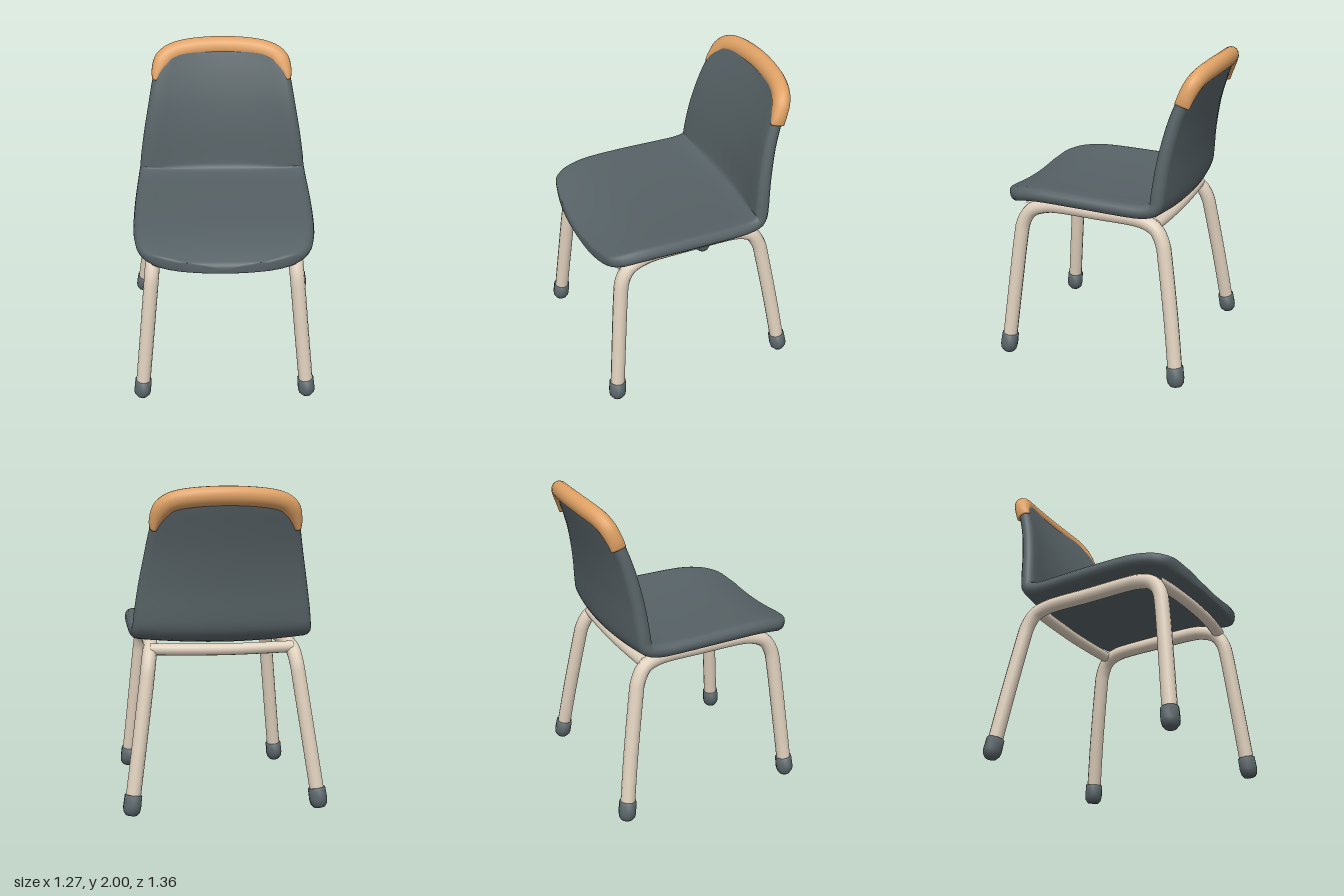
import * as THREE from 'three';

const V = (x, y, z) => new THREE.Vector3(x, y, z);
const curve = (pts) => new THREE.CatmullRomCurve3(pts.map((p) => V(...p)), false, 'catmullrom', 0.5);

// Smooth closed skin over a list of equal-length rings, with fans at both ends
function loft(rings) {
  const n = rings[0].length, pos = [], idx = [];
  rings.forEach((r) => r.forEach((p) => pos.push(p.x, p.y, p.z)));
  for (let i = 0; i < rings.length - 1; i++) {
    for (let j = 0; j < n; j++) {
      const a = i * n + j, b = i * n + (j + 1) % n;
      idx.push(a, b, a + n, b, b + n, a + n);
    }
  }
  [0, rings.length - 1].forEach((i) => {
    const c = rings[i].reduce((s, p) => s.add(p), V(0, 0, 0)).divideScalar(n);
    const k = pos.length / 3;
    pos.push(c.x, c.y, c.z);
    for (let j = 0; j < n; j++) {
      const a = i * n + j, b = i * n + (j + 1) % n;
      if (i === 0) idx.push(k, b, a); else idx.push(k, a, b);
    }
  });
  const g = new THREE.BufferGeometry();
  g.setAttribute('position', new THREE.Float32BufferAttribute(pos, 3));
  g.setIndex(idx);
  g.computeVertexNormals();
  return g;
}

// Flat section with round edges: [u across -1..1, edge cosine, thickness -1..1]
const section = [];
for (let i = 0; i <= 12; i++) section.push([-1 + i / 6, 0, 1]);
for (let i = 1; i < 6; i++) section.push([1, Math.sin(i * Math.PI / 6), Math.cos(i * Math.PI / 6)]);
for (let i = 0; i <= 12; i++) section.push([1 - i / 6, 0, -1]);
for (let i = 1; i < 6; i++) section.push([-1, -Math.sin(i * Math.PI / 6), -Math.cos(i * Math.PI / 6)]);

// One-piece seat and backrest: z, y, half width, half thickness, edge bow
function shellGeometry() {
  const rows = [
    [0.668, 1.04, 0.12, 0.022, 0.005], [0.65, 1.04, 0.31, 0.038, 0.015],
    [0.61, 1.046, 0.45, 0.046, 0.028], [0.55, 1.066, 0.52, 0.047, 0.03],
    [0.47, 1.086, 0.548, 0.046, 0.028], [0.34, 1.098, 0.565, 0.046, 0.025],
    [0.08, 1.094, 0.573, 0.045, 0.022], [-0.16, 1.084, 0.573, 0.045, 0.022],
    [-0.30, 1.08, 0.57, 0.046, 0.025], [-0.39, 1.093, 0.565, 0.046, 0.035],
    [-0.437, 1.14, 0.558, 0.046, 0.046], [-0.453, 1.23, 0.55, 0.046, 0.05],
    [-0.472, 1.4, 0.524, 0.044, 0.05], [-0.512, 1.6, 0.486, 0.042, 0.05],
    [-0.555, 1.75, 0.456, 0.04, 0.045], [-0.585, 1.84, 0.425, 0.038, 0.04],
    [-0.607, 1.905, 0.35, 0.035, 0.03], [-0.62, 1.945, 0.2, 0.03, 0.01],
  ];
  const path = curve(rows.map((r) => [0, r[1], r[0]]));
  const size = curve(rows.map((r) => [r[2], r[3], r[4]]));
  const steps = (rows.length - 1) * 3, rings = [];
  for (let i = 0; i <= steps; i++) {
    const p = path.getPoint(i / steps), t = path.getTangent(i / steps), s = size.getPoint(i / steps);
    const normal = V(0, -t.z, t.y);
    rings.push(section.map(([u, c, v]) => {
      const q = p.clone().addScaledVector(normal, v * s.y + s.z * u * u);
      q.x = u * (s.x - s.y) + c * s.y;
      return q;
    }));
  }
  return loft(rings);
}

// Rounded grip wrapped over the top edge of the backrest
function gripGeometry() {
  const half = [
    [0.437, 1.748, -0.515], [0.422, 1.80, -0.533], [0.388, 1.862, -0.56],
    [0.325, 1.908, -0.587], [0.2, 1.932, -0.613],
  ];
  const path = curve([...half.map(([x, y, z]) => [-x, y, z]), [0, 1.941, -0.625],
    ...half.slice().reverse()]);
  const facing = V(0, 0.3, 0.954), rings = [], steps = 48;
  for (let i = 0; i <= steps; i++) {
    const f = i / steps, p = path.getPoint(f);
    const side = facing.clone().cross(path.getTangent(f)).normalize();
    const grow = Math.min(1, Math.min(f, 1 - f) / 0.2);
    const a = 0.024 + 0.037 * grow, b = 0.048 + 0.005 * grow;
    rings.push(Array.from({ length: 16 }, (_, j) => {
      const w = j / 16 * Math.PI * 2;
      return p.clone().addScaledVector(side, a * Math.cos(w)).addScaledVector(facing, b * Math.sin(w));
    }));
  }
  return loft(rings);
}

export function createModel() {
  const model = new THREE.Group();
  model.name = 'chair';
  const material = (name, color) => {
    const m = new THREE.MeshStandardMaterial({ color });
    m.name = name;
    return m;
  };
  const slate = material('slate grey', 0x576266);
  const tan = material('warm tan', 0xe0a265);
  const cream = material('cream', 0xdfd0bd);
  const add = (name, geometry, mat) => {
    const mesh = new THREE.Mesh(geometry, mat);
    mesh.name = name;
    model.add(mesh);
    return mesh;
  };

  add('seatShell', shellGeometry(), slate);
  add('backrestGrip', gripGeometry(), tan);

  const footProfile = [[0, 0], [0.035, 0], [0.052, 0.022], [0.057, 0.05], [0.055, 0.125], [0, 0.13]]
    .map(([x, y]) => new THREE.Vector2(x, y));

  for (const [s, label] of [[1, 'left'], [-1, 'right']]) {
    // Front leg, side rail and back leg bent from one tube
    const pts = [
      [0.537, 0.06, 0.622], [0.497, 0.45, 0.583], [0.462, 0.8, 0.546], [0.451, 0.91, 0.525],
      [0.443, 0.985, 0.475], [0.437, 1.02, 0.39], [0.433, 1.03, 0.28], [0.433, 1.022, 0],
      [0.437, 1.018, -0.2], [0.443, 1.005, -0.3], [0.455, 0.97, -0.375], [0.468, 0.89, -0.42],
      [0.48, 0.8, -0.44], [0.532, 0.42, -0.503], [0.583, 0.06, -0.555],
    ].map(([x, y, z]) => [x * s, y, z]);
    add(label + 'LegFrame', new THREE.TubeGeometry(curve(pts), 84, 0.046, 12), cream);

    // Rubber feet, tilted along the legs
    for (const [end, next, name] of [[pts[0], pts[1], 'Front'], [pts[14], pts[13], 'Back']]) {
      const dir = V(...next).sub(V(...end)).normalize();
      const foot = add(label + name + 'Foot', new THREE.LatheGeometry(footProfile, 10), slate);
      foot.quaternion.setFromUnitVectors(V(0, 1, 0), dir);
      foot.position.copy(V(...end)).addScaledVector(dir, -0.054);
    }
  }

  // Cross rails under the front and back of the seat
  for (const [name, x, y, z, bow] of [['frontRail', 0.44, 0.99, 0.5, 0.04], ['backRail', 0.45, 0.995, -0.365, -0.01]]) {
    const path = curve([[-x, y + 0.005, z], [-x / 2, y, z + bow * 0.75], [0, y - 0.003, z + bow],
      [x / 2, y, z + bow * 0.75], [x, y + 0.005, z]]);
    add(name, new THREE.TubeGeometry(path, 24, 0.037, 12), cream);
  }
  return model;
}
